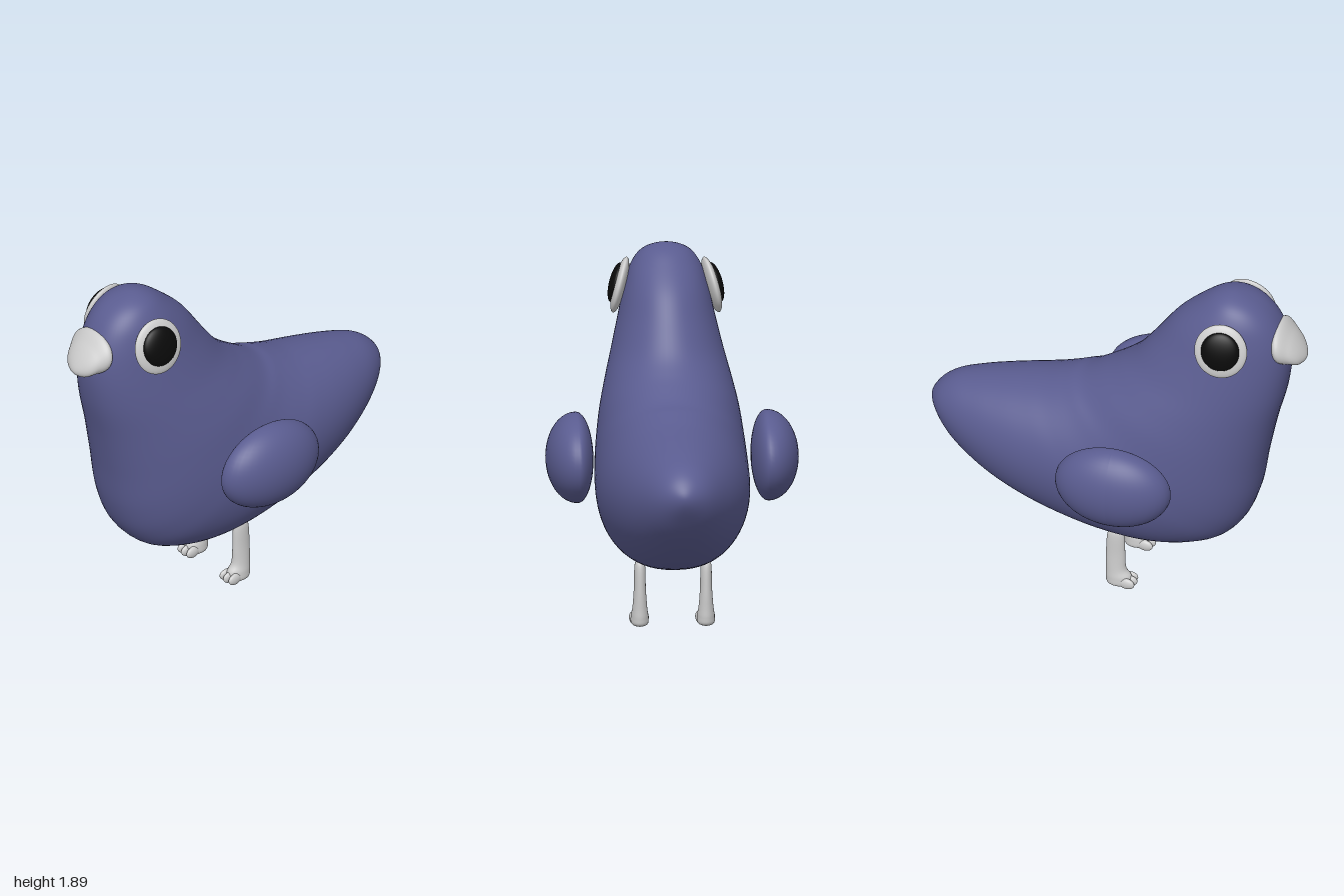
import * as THREE from 'three';
import { mergeVertices } from 'three/addons/utils/BufferGeometryUtils.js';

const plumage = new THREE.MeshStandardMaterial({ color: 0x5a5c90 });
const pale = new THREE.MeshStandardMaterial({ color: 0xcccccc });
const black = new THREE.MeshStandardMaterial({ color: 0x0a0a0a });

function part(name, geometry, material) {
  const mesh = new THREE.Mesh(geometry, material);
  mesh.name = name;
  return mesh;
}

// Smooth closed skin over oval rings. Each row: front z, y, back z, y, half width.
// The first and last rows are poles; a mirrored extra row beyond each keeps them round.
function loft(rows, steps, sides, power = 1) {
  const flip = ([fz, fy, bz, by, w]) => [bz, by, fz, fy, -w];
  const all = [flip(rows[1]), ...rows, flip(rows[rows.length - 2])];
  const curve = (pick) => new THREE.CatmullRomCurve3(all.map(pick), false, 'catmullrom', 0.5);
  const front = curve((r) => new THREE.Vector3(r[4], r[1], r[0]));
  const back = curve((r) => new THREE.Vector3(r[4], r[3], r[2]));
  const positions = [];
  const index = [];
  const last = all.length - 1;
  for (let j = 0; j <= steps; j++) {
    const t = (1 + (j / steps) * (last - 2)) / last;
    const f = front.getPoint(t);
    const b = back.getPoint(t);
    for (let i = 0; i < sides; i++) {
      const a = (i / sides) * Math.PI * 2;
      const c = Math.cos(a);
      const s = Math.sin(a);
      // a power below 1 makes the front half of the ring fuller
      const x = c > 0 ? Math.sign(s) * Math.abs(s) ** power : s;
      positions.push(
        f.x * x,
        (f.y + b.y) / 2 + ((f.y - b.y) / 2) * c,
        (f.z + b.z) / 2 + ((f.z - b.z) / 2) * c
      );
      if (j < steps) {
        const n = (i + 1) % sides;
        const p = j * sides;
        const q = p + sides;
        if (j < steps - 1) index.push(p + i, q + i, q + n);
        if (j > 0) index.push(p + i, q + n, p + n);
        if (j === steps - 1) index.push(p + i, q + i, p + n);
      }
    }
  }
  const geometry = new THREE.BufferGeometry();
  geometry.setAttribute('position', new THREE.Float32BufferAttribute(positions, 3));
  geometry.setIndex(index);
  const welded = mergeVertices(geometry, 1e-5);
  welded.computeVertexNormals();
  return welded;
}

function ellipsoid(rx, ry, rz) {
  return new THREE.SphereGeometry(1, 40, 28).scale(rx, ry, rz);
}

// Head, chest, belly and tail in one skin
function makeBody() {
  return part('body', loft([
    [0.62, 1.89, 0.62, 1.89, 0],
    [0.74, 1.85, 0.52, 1.87, 0.11],
    [0.83, 1.77, 0.42, 1.80, 0.175],
    [0.89, 1.65, 0.30, 1.69, 0.215],
    [0.91, 1.50, 0.19, 1.54, 0.25],
    [0.89, 1.32, 0.09, 1.41, 0.288],
    [0.835, 1.10, 0.00, 1.33, 0.328],
    [0.79, 0.88, -0.09, 1.27, 0.36],
    [0.75, 0.65, -0.18, 1.22, 0.38],
    [0.68, 0.48, -0.25, 1.20, 0.39],
    [0.55, 0.36, -0.31, 1.18, 0.395],
    [0.30, 0.295, -0.39, 1.155, 0.392],
    [0.00, 0.31, -0.48, 1.135, 0.372],
    [-0.34, 0.39, -0.61, 1.11, 0.325],
    [-0.61, 0.50, -0.75, 1.08, 0.262],
    [-0.82, 0.64, -0.88, 1.04, 0.185],
    [-0.94, 0.775, -0.965, 0.975, 0.105],
    [-1.00, 0.89, -1.00, 0.89, 0],
  ], 102, 64, 0.86), plumage);
}

// Short beak, drooping toward its tip
function makeBeak() {
  return part('beak', loft([
    [0.80, 1.64, 0.80, 1.64, 0],
    [0.85, 1.735, 0.86, 1.53, 0.142],
    [0.92, 1.68, 0.93, 1.515, 0.12],
    [0.975, 1.61, 0.975, 1.515, 0.075],
    [1.00, 1.55, 1.00, 1.55, 0],
  ], 32, 40), pale);
}

// Tilted pale disc with a domed dark pupil
function makeEye(side) {
  const eye = new THREE.Group();
  eye.name = side > 0 ? 'leftEye' : 'rightEye';
  const pupil = part('pupil', ellipsoid(0.035, 0.106, 0.1), black);
  pupil.position.set(side * 0.022, 0.006, 0);
  eye.add(part('eyeWhite', ellipsoid(0.034, 0.148, 0.137), pale), pupil);
  eye.position.set(side * 0.235, 1.665, side > 0 ? 0.63 : 0.605);
  eye.rotation.set(0, side * -0.12, side * 0.24);
  return eye;
}

// Egg-like wing, flatter on the side toward the body
function makeWing(side) {
  const geometry = ellipsoid(1, 0.23, 0.307);
  const pos = geometry.attributes.position;
  for (let i = 0; i < pos.count; i++) {
    const x = pos.getX(i);
    pos.setX(i, x * (x * side > 0 ? 0.16 : 0.085));
  }
  geometry.computeVertexNormals();
  const wing = part(side > 0 ? 'leftWing' : 'rightWing', geometry, plumage);
  wing.position.set(side * 0.49, 0.88, 0.105);
  return wing;
}

// Leg flaring into a foot with three toes
function makeLeg(side) {
  const leg = new THREE.Group();
  leg.name = side > 0 ? 'leftLeg' : 'rightLeg';
  leg.add(part('shank', loft([
    [0.025, 0.345, 0.025, 0.345, 0],
    [0.07, 0.335, -0.015, 0.33, 0.026],
    [0.077, 0.20, -0.025, 0.20, 0.031],
    [0.082, 0.11, -0.025, 0.10, 0.038],
    [0.11, 0.065, -0.025, 0.05, 0.045],
    [0.105, 0.02, -0.015, 0.015, 0.042],
    [0.04, 0.004, 0.04, 0.004, 0],
  ], 36, 24), pale));
  for (const k of [-1, 0, 1]) {
    const toe = part('toe', ellipsoid(0.018, 0.031, 0.045), pale);
    toe.position.set(k * 0.032, 0.036, 0.097 - Math.abs(k) * 0.006);
    toe.rotation.y = k * 0.12;
    leg.add(toe);
  }
  leg.position.x = side * 0.17;
  return leg;
}

export function createModel() {
  const model = new THREE.Group();
  model.name = 'bird';
  model.add(makeBody(), makeBeak());
  for (const side of [1, -1]) model.add(makeEye(side), makeWing(side), makeLeg(side));
  return model;
}
